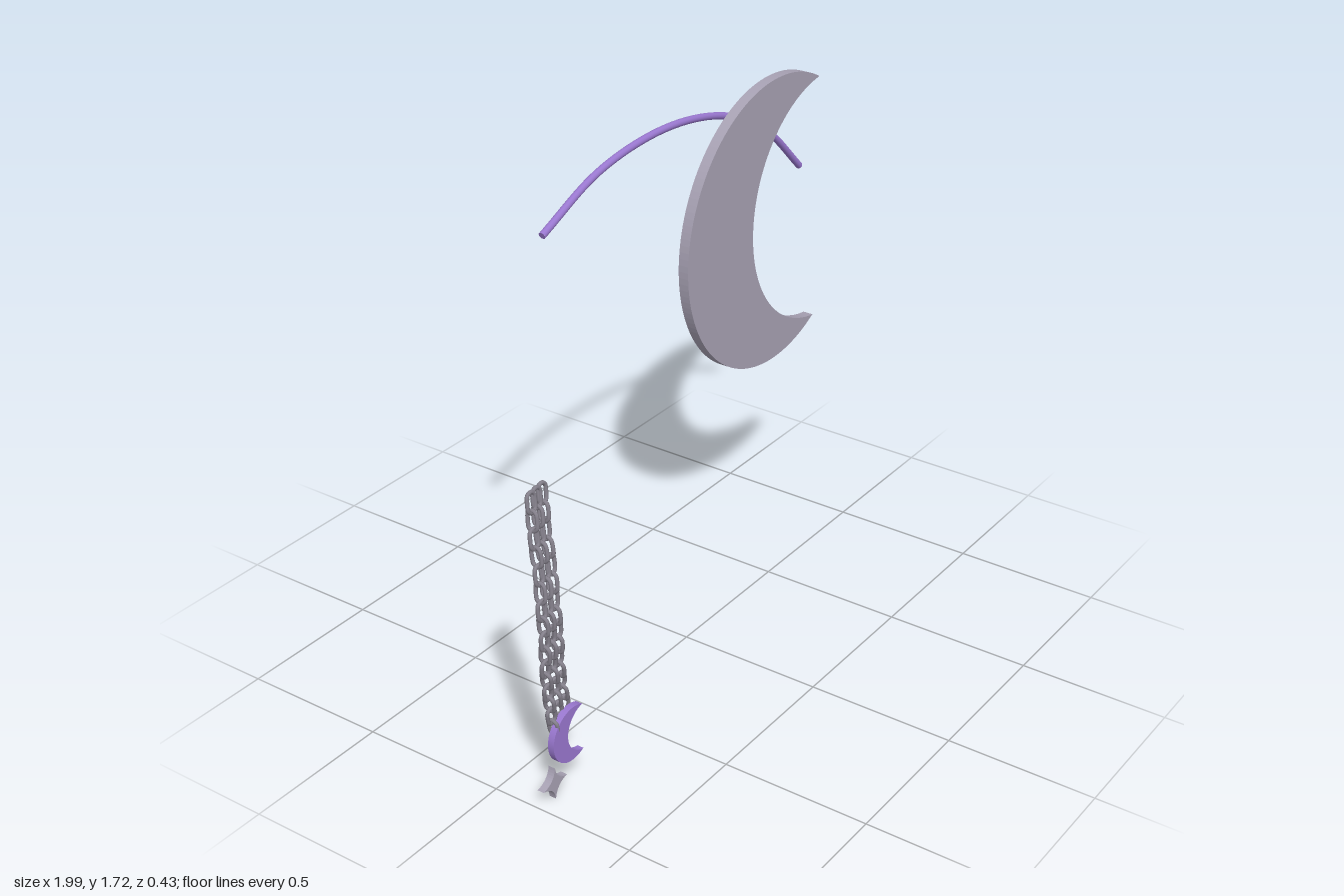
import * as THREE from 'three';

const purple = new THREE.MeshStandardMaterial({ color: 0x9a78d0 });
const silver = new THREE.MeshStandardMaterial({ color: 0xa8a2b4 });
const steel = new THREE.MeshStandardMaterial({ color: 0x85818c });

function addMesh(parent, name, geometry, material) {
  const mesh = new THREE.Mesh(geometry, material);
  mesh.name = name;
  parent.add(mesh);
  return mesh;
}

// Crescent plate: outer circle minus an offset inner circle, horns toward +x
function crescentGeometry(r, depth) {
  const tip = new THREE.Vector2(0.5 * r, 0.866 * r);
  const innerLeft = -0.265 * r;
  const sag = tip.x - innerLeft;
  const innerR = (tip.y * tip.y + sag * sag) / (2 * sag);
  const innerX = innerLeft + innerR;
  const a = Math.atan2(tip.y, tip.x);
  const b = Math.atan2(tip.y, tip.x - innerX);
  const shape = new THREE.Shape();
  shape.absarc(0, 0, r, a, 2 * Math.PI - a, false);
  shape.absarc(innerX, 0, innerR, 2 * Math.PI - b, b, true);
  const geometry = new THREE.ExtrudeGeometry(shape, { depth, bevelEnabled: false, curveSegments: 48 });
  return geometry.translate(0, 0, -depth / 2);
}

// Four-pointed star with concave sides
function starGeometry(r, depth) {
  const shape = new THREE.Shape();
  shape.moveTo(r, 0);
  for (let i = 0; i < 4; i++) {
    const mid = (i + 0.5) * Math.PI / 2, end = (i + 1) * Math.PI / 2;
    shape.quadraticCurveTo(0.18 * r * Math.cos(mid), 0.18 * r * Math.sin(mid), r * Math.cos(end), r * Math.sin(end));
  }
  const geometry = new THREE.ExtrudeGeometry(shape, { depth, bevelEnabled: false, curveSegments: 10 });
  return geometry.translate(0, 0, -depth / 2);
}

// Oval link standing along y
function linkGeometry() {
  const points = [];
  for (let i = 0; i < 20; i++) {
    const a = i / 20 * Math.PI * 2;
    points.push(new THREE.Vector3(0.017 * Math.cos(a), 0.017 * Math.sin(a) + 0.014 * Math.sign(Math.sin(a) + 1e-6), 0));
  }
  return new THREE.TubeGeometry(new THREE.CatmullRomCurve3(points, true), 28, 0.0065, 7, true);
}

export function createModel() {
  const model = new THREE.Group();
  model.name = 'moonOrnament';

  // Large crescent
  addMesh(model, 'largeMoon', crescentGeometry(0.511, 0.037), silver).position.set(0.735, 1.211, -0.17);

  // Curved rod behind the crescent, with closed ends
  const rodCurve = new THREE.CatmullRomCurve3([
    [-0.445, 1.57], [-0.18, 1.676], [0.1, 1.711], [0.35, 1.69], [0.56, 1.628], [0.76, 1.515], [0.958, 1.332],
  ].map(([x, y]) => new THREE.Vector3(x, y, -0.203)));
  const rod = new THREE.Group();
  rod.name = 'curvedRod';
  model.add(rod);
  addMesh(rod, 'rodBody', new THREE.TubeGeometry(rodCurve, 64, 0.012, 12), purple);
  for (const t of [0, 1]) {
    const cap = addMesh(rod, 'rodEnd', new THREE.CircleGeometry(0.012, 12), purple);
    const outward = rodCurve.getTangent(t).multiplyScalar(t ? 1 : -1);
    cap.position.copy(rodCurve.getPoint(t));
    cap.quaternion.setFromUnitVectors(new THREE.Vector3(0, 0, 1), outward);
  }

  // Three hanging chain strands following a gentle bend
  const link = linkGeometry();
  const path = [
    [-0.952, 1.028, 0.135], [-0.963, 0.92, 0.15], [-0.969, 0.81, 0.168], [-0.978, 0.7, 0.181], [-0.973, 0.595, 0.184],
    [-0.963, 0.49, 0.175], [-0.941, 0.39, 0.163], [-0.914, 0.285, 0.15], [-0.889, 0.182, 0.145],
  ];
  for (let s = 0; s < 3; s++) {
    const strand = new THREE.Group();
    strand.name = 'chainStrand' + (s + 1);
    const curve = new THREE.CatmullRomCurve3(path.map(([x, y, z], i) =>
      new THREE.Vector3(x + s * (0.03 + 0.001 * i), y, z - 0.004 * (s - 1))));
    for (let i = 0; i < 17 - s; i++) {
      const t = i / 16;
      const mesh = addMesh(strand, 'chainLink', link, steel);
      mesh.position.copy(curve.getPoint(t));
      mesh.quaternion.setFromUnitVectors(new THREE.Vector3(0, 1, 0), curve.getTangent(t).negate());
      if (i % 2) mesh.rotateY(Math.PI / 2);
    }
    model.add(strand);
  }

  // Small crescent and star charms
  addMesh(model, 'moonCharm', crescentGeometry(0.094, 0.022), purple).position.set(-0.838, 0.183, 0.163);
  addMesh(model, 'starCharm', starGeometry(0.056, 0.024), silver).position.set(-0.933, 0.057, 0.165);

  return model;
}
